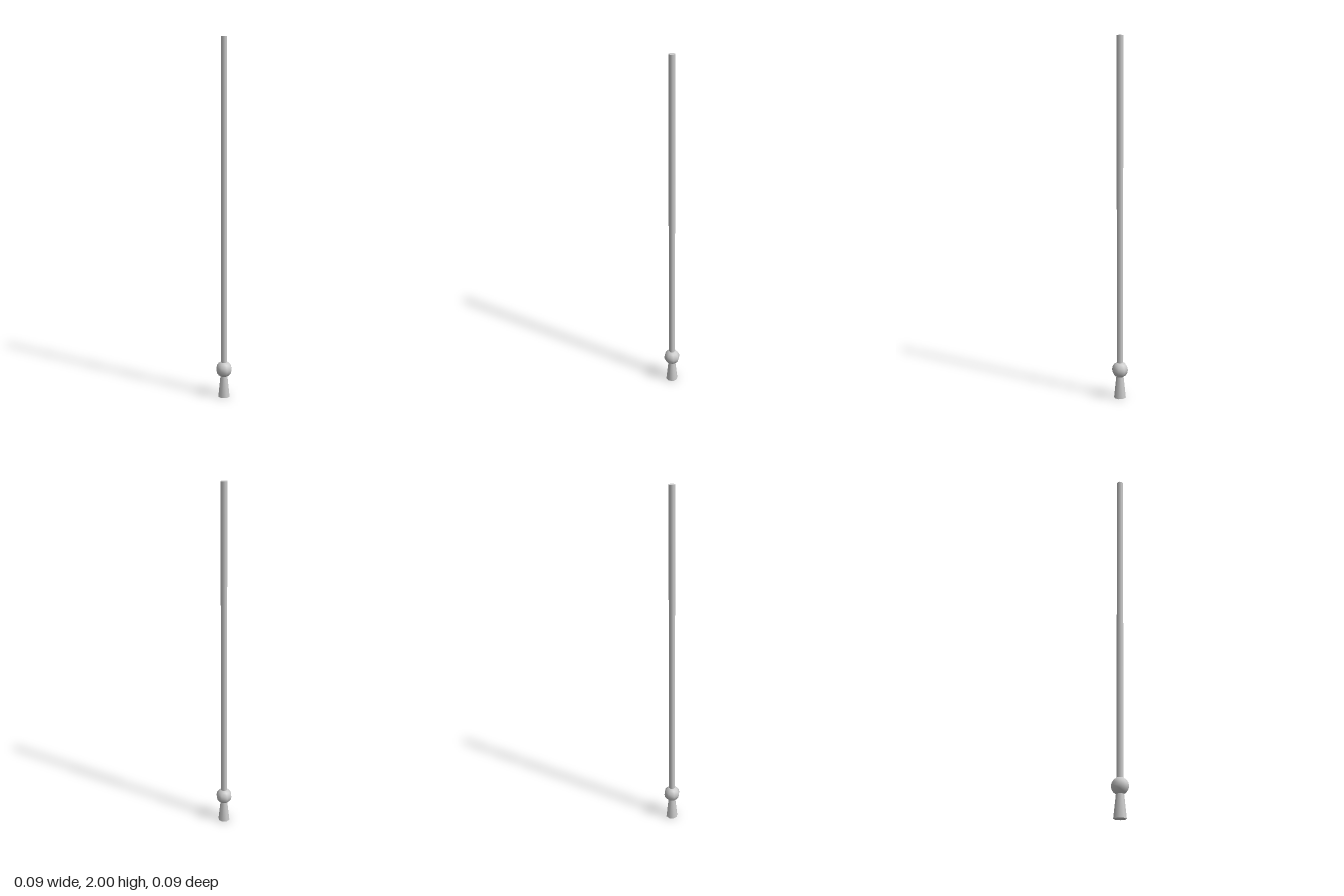
import * as THREE from 'three';

const SIDES = 8;

export function createModel() {
  const model = new THREE.Group();
  const material = new THREE.MeshStandardMaterial({ color: 0xcccccc });

  const add = (name, geometry, y) => {
    const mesh = new THREE.Mesh(geometry, material);
    mesh.name = name;
    mesh.position.y = y;
    model.add(mesh);
  };
  // Tapered rod standing between two heights
  const rod = (name, topRadius, bottomRadius, y0, y1) =>
    add(name, new THREE.CylinderGeometry(topRadius, bottomRadius, y1 - y0, SIDES), (y0 + y1) / 2);

  // Long straight pole, sunk into the ball
  rod('pole', 0.018, 0.018, 0.165, 2);
  // Round knob between pole and foot
  add('ball', new THREE.SphereGeometry(0.046, SIDES, 8), 0.163);
  // Flared foot
  rod('foot', 0.018, 0.034, 0, 0.15);

  return model;
}
